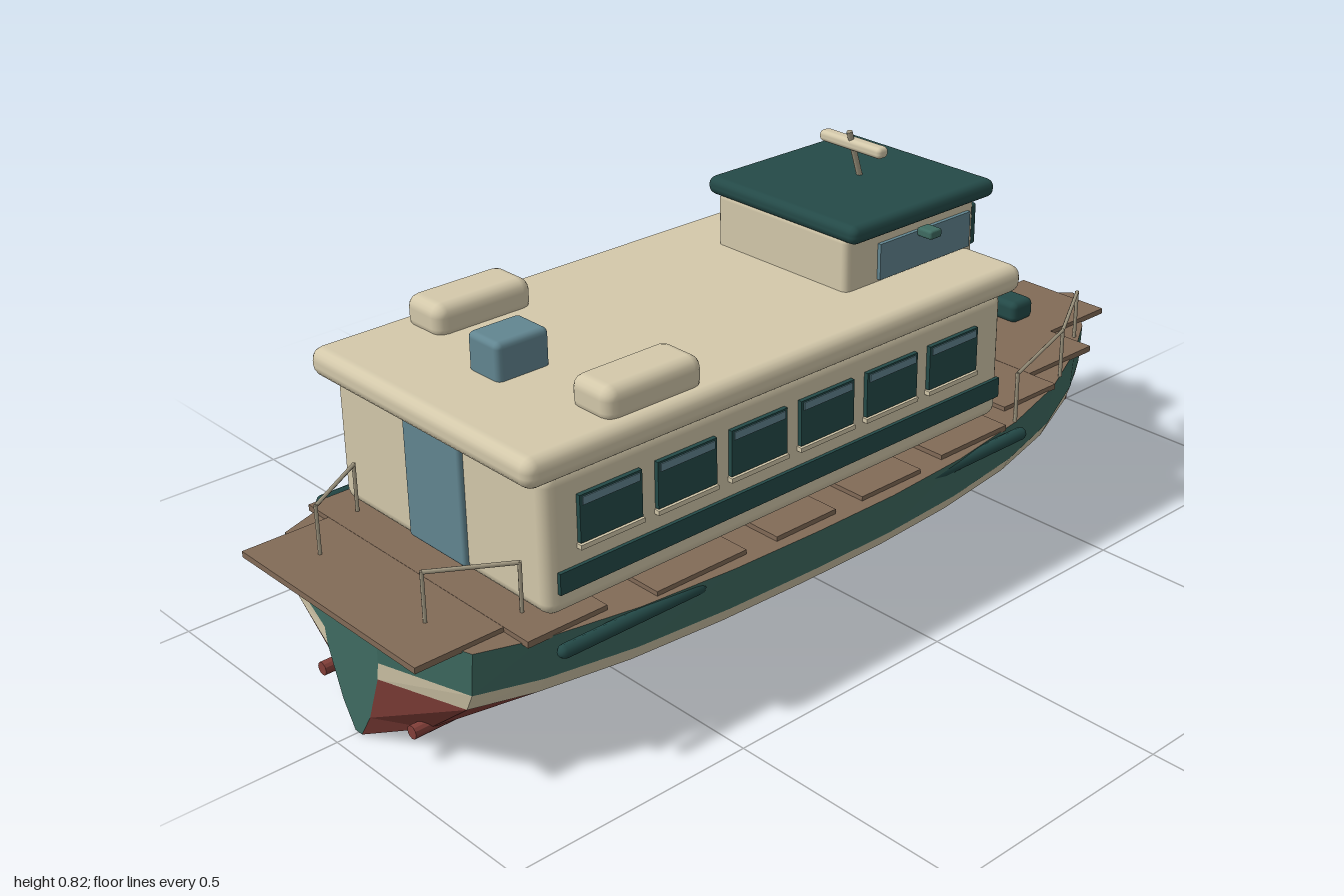
import * as THREE from 'three';
import { RoundedBoxGeometry } from 'three/addons/geometries/RoundedBoxGeometry.js';

const paint = (name, color) => {
  const m = new THREE.MeshStandardMaterial({ color });
  m.name = name;
  return m;
};

export function createModel() {
  const boat = new THREE.Group();
  boat.name = 'passengerBoat';

  const cream = paint('cream', 0xd4c9ab);
  const green = paint('hullGreen', 0x3f6c62);
  const dark = paint('darkGreen', 0x244a48);
  const red = paint('hullRed', 0x84403a);
  const glass = paint('glassBlue', 0x628691);
  const brown = paint('deckBrown', 0x826b57);
  const metal = paint('railMetal', 0xa59c85);
  green.flatShading = red.flatShading = true;

  const add = (name, geo, mat, x = 0, y = 0, z = 0) => {
    const mesh = new THREE.Mesh(geo, mat);
    mesh.name = name;
    mesh.position.set(x, y, z);
    boat.add(mesh);
    return mesh;
  };
  // Boxes given by their lower and upper corners
  const box = (name, mat, [x0, y0, z0], [x1, y1, z1], r = 0) => {
    const s = [x1 - x0, y1 - y0, z1 - z0];
    const geo = r ? new RoundedBoxGeometry(...s, 2, r) : new THREE.BoxGeometry(...s);
    return add(name, geo, mat, (x0 + x1) / 2, (y0 + y1) / 2, (z0 + z1) / 2);
  };
  // Round bar between two points
  const bar = (name, mat, a, b, r, sides = 8) => {
    const p = new THREE.Vector3(...a), q = new THREE.Vector3(...b);
    const mid = p.clone().add(q).multiplyScalar(0.5);
    const mesh = add(name, new THREE.CylinderGeometry(r, r, p.distanceTo(q), sides), mat, mid.x, mid.y, mid.z);
    mesh.quaternion.setFromUnitVectors(new THREE.Vector3(0, 1, 0), q.sub(p).normalize());
    return mesh;
  };

  // Hull: one cross-section scaled along the length, painted in bands
  const stations = [[-1, 0.002], [-0.87, 0.13], [-0.75, 0.205], [-0.58, 0.285], [-0.4, 0.337], [-0.2, 0.367],
    [0, 0.38], [0.2, 0.38], [0.4, 0.374], [0.6, 0.357], [0.78, 0.323], [0.9, 0.28], [0.955, 0.083]];
  const half = [[0.12, 0], [0.49, 0.05], [0.91, 0.145], [0.97, 0.18], [1, 0.265]];
  const ring = [[-0.12, 0], ...half, ...half.slice(1).reverse().map(([x, y]) => [-x, y])];
  const bands = [0, 0, 0, 1, 2, 3, 2, 1, 0, 0];
  const n = ring.length;
  const pt = ([z, w], k) => [ring[k % n][0] * w, ring[k % n][1], z];
  const hullGeo = new THREE.BufferGeometry();
  const verts = [];
  for (let band = 0; band < 4; band++) {
    const start = verts.length / 3;
    for (let k = 0; k < n; k++) {
      if (bands[k] !== band) continue;
      for (let i = 0; i < stations.length - 1; i++) {
        const a = pt(stations[i], k), b = pt(stations[i], k + 1);
        const c = pt(stations[i + 1], k), d = pt(stations[i + 1], k + 1);
        verts.push(...a, ...b, ...c, ...b, ...d, ...c);
      }
    }
    if (band === 2) { // narrow transom
      const end = stations[stations.length - 1];
      for (let k = 1; k < n - 1; k++) verts.push(...pt(end, 0), ...pt(end, k), ...pt(end, k + 1));
    }
    hullGeo.addGroup(start, verts.length / 3 - start, band);
  }
  hullGeo.setAttribute('position', new THREE.Float32BufferAttribute(verts, 3));
  hullGeo.computeVertexNormals();
  add('hull', hullGeo, [red, cream, green, brown]);

  // Deck boards, stepped to follow the hull
  const boards = [[-0.96, -0.78, 0.113], [-0.78, -0.58, 0.222], [-0.58, -0.42, 0.29], [-0.36, -0.17, 0.345],
    [-0.1, 0.06, 0.355], [0.13, 0.28, 0.355], [0.35, 0.56, 0.35], [0.65, 0.82, 0.325], [0.8, 1, 0.26]];
  boards.forEach(([z0, z1, w], i) =>
    box('deckBoard', brown, [-w, 0.262, z0], [w, 0.274 + 0.0005 * (i % 2), z1]));

  // Cabin, roof and stern door
  box('cabin', cream, [-0.302, 0.275, -0.385], [0.302, 0.545, 0.757], 0.025);
  box('cabinRoof', cream, [-0.317, 0.533, -0.425], [0.317, 0.59, 0.798], 0.024);
  box('sternDoor', glass, [-0.083, 0.288, 0.745], [0.083, 0.525, 0.766], 0.008);

  // Roof fittings
  box('skylight', glass, [-0.044, 0.58, 0.53], [0.044, 0.662, 0.645], 0.012);
  for (const s of [-1, 1]) {
    const x = s * 0.236;
    box('roofLocker', cream, [x - 0.053, 0.575, 0.388], [x + 0.053, 0.645, 0.605], 0.024);
  }

  // Wheelhouse
  box('wheelhouse', cream, [-0.178, 0.52, -0.432], [0.178, 0.7, -0.07], 0.014);
  box('wheelhouseRoof', dark, [-0.203, 0.69, -0.465], [0.203, 0.727, -0.064], 0.016);
  for (const s of [-1, 1]) {
    const x = s * 0.091;
    box('bowWindow', dark, [x - 0.077, 0.585, -0.45], [x + 0.077, 0.672, -0.428], 0.006);
    const side = s * 0.181;
    box('wheelhouseSideWindow', glass, [side - 0.005, 0.595, -0.41], [side + 0.005, 0.668, -0.155]);
    const lamp = s * 0.203;
    box('navigationLamp', s < 0 ? red : green, [lamp - 0.019, 0.658, -0.288], [lamp + 0.019, 0.676, -0.256], 0.005);
  }

  // Leaning mast with scanner bar
  bar('mast', metal, [0, 0.72, -0.29], [0, 0.823, -0.257], 0.006);
  box('scannerBar', cream, [-0.083, 0.784, -0.283], [0.083, 0.807, -0.255], 0.009);

  for (const s of [-1, 1]) {
    // Side windows with bright headers and sills, and the lower stripe
    const plate = (name, mat, y0, y1, z0, z1, out) =>
      box(name, mat, [s * 0.305 - out, y0, z0], [s * 0.305 + out, y1, z1]);
    for (let i = 0; i < 6; i++) {
      const z = 0.622 - i * 0.171;
      plate('sideWindow', dark, 0.403, 0.493, z - 0.068, z + 0.068, 0.006);
      plate('windowHeader', glass, 0.474, 0.489, z - 0.062, z + 0.062, 0.008);
      plate('windowSill', cream, 0.392, 0.401, z - 0.07, z + 0.07, 0.009);
    }
    plate('sideStripe', dark, 0.32, 0.361, -0.375, 0.735, 0.004);

    // Fenders along the hull
    for (const z of [-0.24, 0.62]) {
      const fender = add('fender', new THREE.CapsuleGeometry(0.013, 0.3, 3, 8), dark, s * 0.357, 0.25, z);
      fender.rotation.x = Math.PI / 2;
    }
    bar('exhaustPipe', red, [s * 0.137, 0.058, 0.84], [s * 0.137, 0.058, 0.935], 0.013, 12);

    // Bow and stern rails: posts joined by top bars
    const rails = [[[0.335, -0.4], [0.262, -0.63], [0.155, -0.81]], [[0.243, 0.768], [0.157, 0.905]]];
    for (const posts of rails) {
      posts.forEach(([x, z], i) => {
        bar('railPost', metal, [s * x, 0.265, z], [s * x, 0.372, z], 0.004, 6);
        if (i) bar('topRail', metal, [s * posts[i - 1][0], 0.37, posts[i - 1][1]], [s * x, 0.37, z], 0.004, 6);
      });
    }
  }

  // Anchor winch on the bow
  box('anchorWinch', dark, [-0.036, 0.272, -0.815], [0.036, 0.32, -0.75], 0.014);

  return boat;
}
